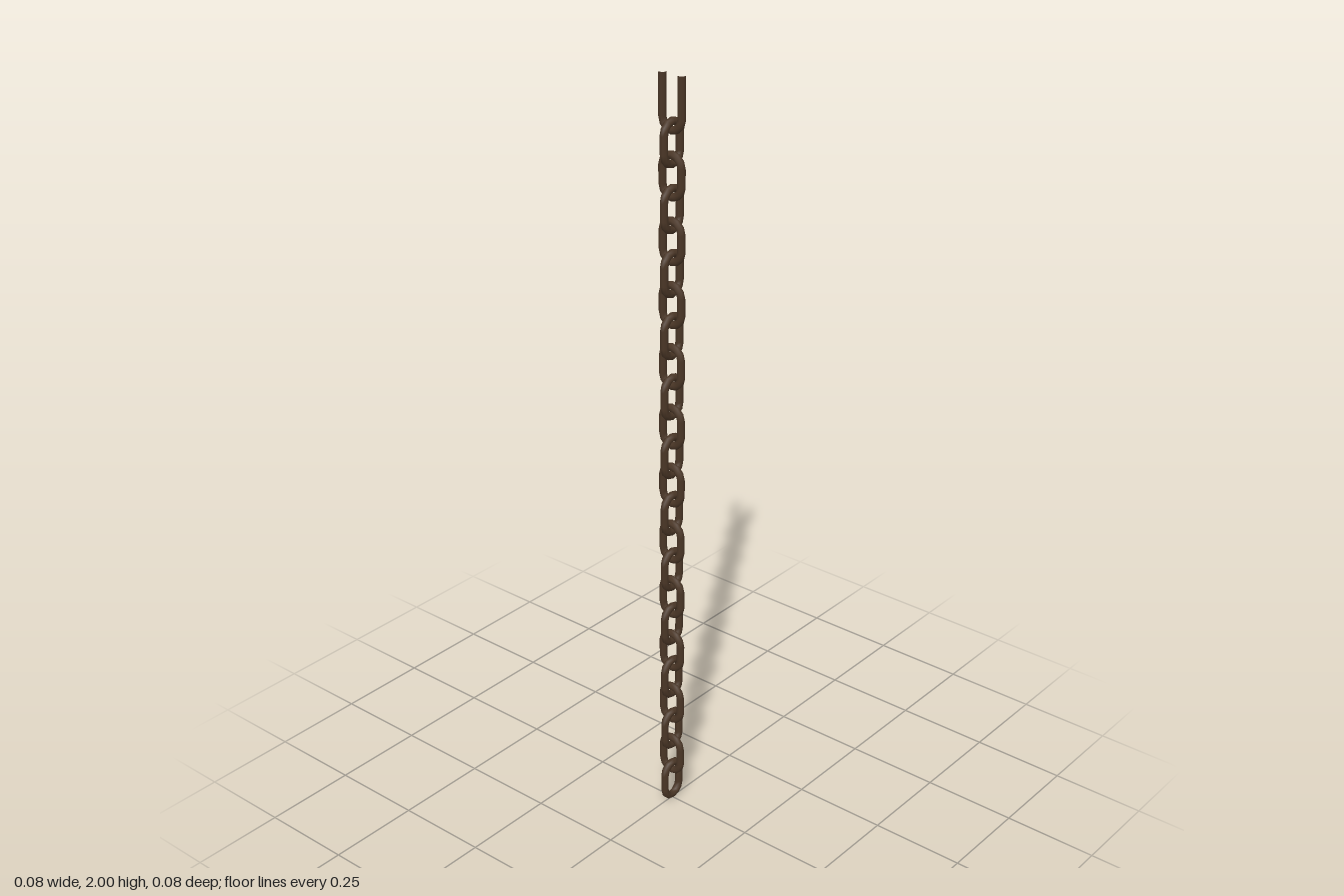
import * as THREE from 'three';

const WIRE = 0.0095;      // wire radius
const BEND = 0.0287;      // centre-line radius of the rounded ends
const STRAIGHT = 0.0228;  // half length of the straight sides
const SIDES = 8;          // sides of the wire
const STEPS = 6;          // segments per rounded end

// Half-circle of path stations: position and outward direction
function bend(from, cy) {
  return Array.from({ length: STEPS + 1 }, (_, i) => {
    const a = from + Math.PI * i / STEPS;
    const n = new THREE.Vector2(Math.cos(a), Math.sin(a));
    return { p: n.clone().multiplyScalar(BEND).add(new THREE.Vector2(0, cy)), n };
  });
}

// Sweep the round wire along a counter-clockwise path in the xy plane
function wireGeometry(path, closed) {
  const positions = [], normals = [], index = [];
  for (const { p, n } of path) {
    for (let j = 0; j < SIDES; j++) {
      const a = (j + 0.5) * 2 * Math.PI / SIDES;
      const c = Math.cos(a), s = Math.sin(a), r = WIRE / Math.cos(Math.PI / SIDES);
      positions.push(p.x + n.x * c * r, p.y + n.y * c * r, s * r);
      normals.push(n.x * c, n.y * c, s);
    }
  }
  const spans = closed ? path.length : path.length - 1;
  for (let i = 0; i < spans; i++) {
    const u = i * SIDES, v = ((i + 1) % path.length) * SIDES;
    for (let j = 0; j < SIDES; j++) {
      const k = (j + 1) % SIDES;
      index.push(u + j, v + j, u + k, v + j, v + k, u + k);
    }
  }
  const geometry = new THREE.BufferGeometry();
  geometry.setAttribute('position', new THREE.Float32BufferAttribute(positions, 3));
  geometry.setAttribute('normal', new THREE.Float32BufferAttribute(normals, 3));
  geometry.setIndex(index);
  return geometry;
}

export function createModel() {
  const chain = new THREE.Group();
  chain.name = 'chain';
  const iron = new THREE.MeshStandardMaterial({ color: 0x4a3626 });
  iron.name = 'rusty iron';

  const bottomY = STRAIGHT + BEND + WIRE;
  const pitch = 0.0807;
  const fullLinks = 23;

  // Closed links, each turned a quarter against the one below
  const linkGeometry = wireGeometry([...bend(0, STRAIGHT), ...bend(Math.PI, -STRAIGHT)], true);
  for (let i = 0; i < fullLinks; i++) {
    const link = new THREE.Mesh(linkGeometry, iron);
    link.name = 'link' + (i + 1);
    link.position.y = bottomY + i * pitch;
    link.rotation.y = (i % 2) * Math.PI / 2;
    chain.add(link);
  }

  // Top link: an open U with two straight prongs
  const topY = bottomY + fullLinks * pitch;
  const prongEnd = 2 - topY;
  const openPath = [
    { p: new THREE.Vector2(-BEND, prongEnd), n: new THREE.Vector2(-1, 0) },
    ...bend(Math.PI, -STRAIGHT),
    { p: new THREE.Vector2(BEND, prongEnd), n: new THREE.Vector2(1, 0) },
  ];
  const openLink = new THREE.Mesh(wireGeometry(openPath, false), iron);
  openLink.name = 'openTopLink';
  openLink.position.y = topY;
  openLink.rotation.y = Math.PI / 2;
  chain.add(openLink);

  return chain;
}
